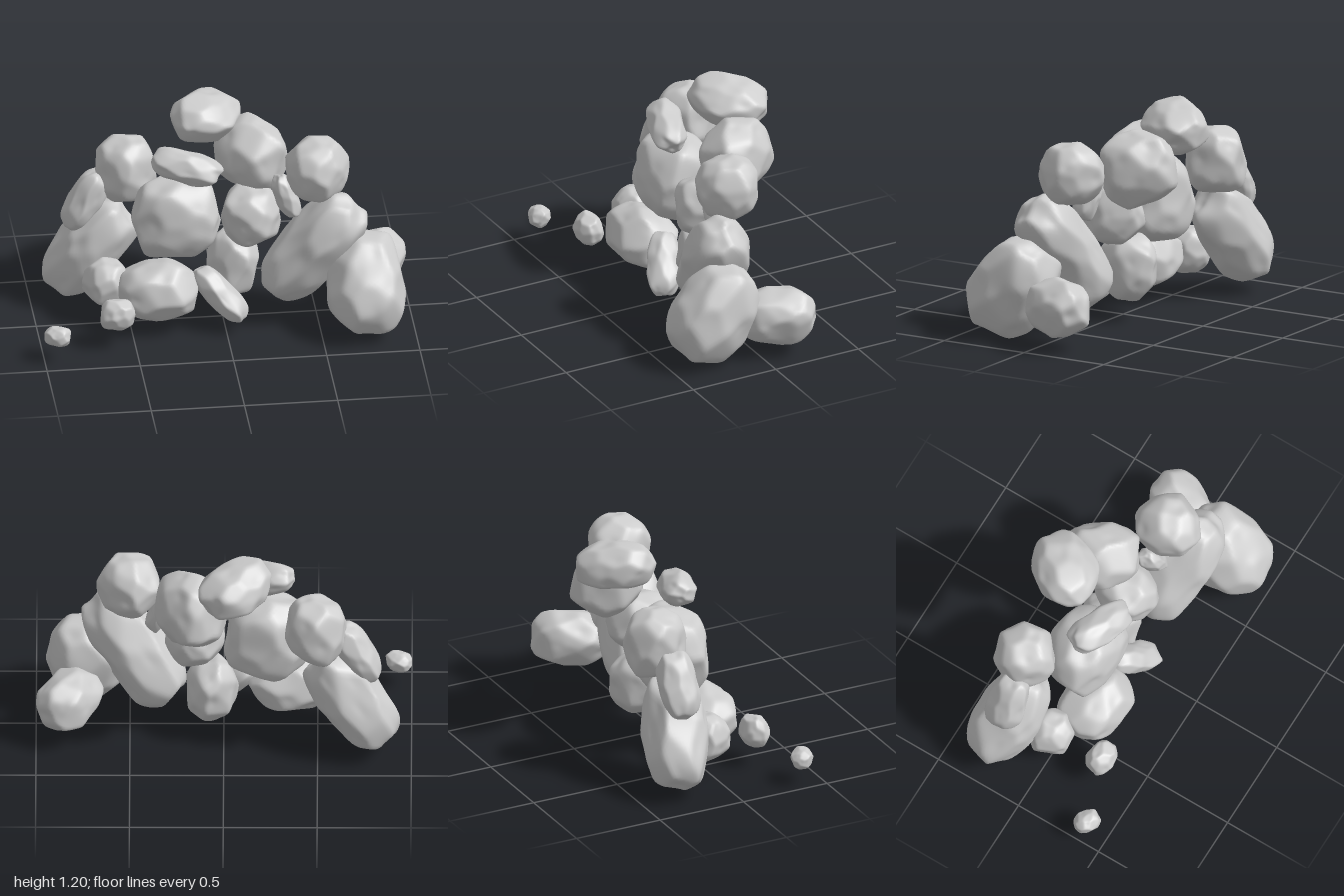
import * as THREE from 'three';
import { mergeVertices } from 'three/addons/utils/BufferGeometryUtils.js';

const UP = new THREE.Vector3(0, 1, 0);
const stone = new THREE.MeshStandardMaterial({ color: 0xcccccc });

// Small seeded random generator
function seeded(seed) {
  let s = seed * 7919 + 17;
  return () => {
    s = (s * 16807) % 2147483647;
    return s / 2147483647;
  };
}

// Evenly spread, jittered planes that give a boulder its worn facets
function makePlanes(rand, count) {
  return Array.from({ length: count }, (_, i) => {
    const y = 1 - (2 * (i + 0.5)) / count;
    const a = i * 2.4 + rand() * 0.7;
    const r = Math.sqrt(1 - y * y);
    const n = new THREE.Vector3(r * Math.cos(a), y + (rand() - 0.5) * 0.25, r * Math.sin(a));
    return { n: n.normalize(), h: 0.93 + rand() * 0.11 };
  });
}

// Softly faceted ball with shallow dents, drawn out along the lean direction
// (the longer the lean, the more slender and blunt-ended), then sized and placed
function boulderGeometry(seed, centre, size, lean) {
  const rand = seeded(seed);
  const base = new THREE.IcosahedronGeometry(1, 13);
  base.deleteAttribute('uv');
  base.deleteAttribute('normal');
  const geo = mergeVertices(base, 1e-4);
  const planes = makePlanes(rand, 34);
  const dents = makePlanes(rand, 14);
  const stretch = 1 + lean.length();
  const bluntness = 2.3 + 0.7 * lean.length();
  const turn = new THREE.Quaternion().setFromUnitVectors(UP, lean.clone().normalize());
  const pos = geo.attributes.position;
  const d = new THREE.Vector3();
  for (let i = 0; i < pos.count; i++) {
    d.fromBufferAttribute(pos, i).normalize();
    let sum = 0;
    for (const { n, h } of planes) sum += Math.pow(Math.max(0, d.dot(n) / h), 45);
    let r = Math.pow(sum, -1 / 45);
    for (const { n } of dents) r -= 0.03 * Math.exp((d.dot(n) - 1) * 60);
    const blunt = Math.pow(Math.hypot(d.x, d.z), bluntness) + Math.pow(Math.abs(d.y), bluntness);
    d.multiplyScalar(r * Math.pow(blunt, -1 / bluntness));
    d.y *= stretch;
    d.applyQuaternion(turn);
    pos.setXYZ(i, d.x, d.y, d.z);
  }
  geo.center();
  const raw = geo.boundingBox.getSize(new THREE.Vector3());
  geo.scale(size.x / raw.x, size.y / raw.y, size.z / raw.z);
  geo.translate(centre.x, centre.y, centre.z);
  geo.computeVertexNormals();
  return geo;
}

export function createModel() {
  const model = new THREE.Group();
  model.name = 'rockPile';
  const v = (x, y = x, z = x) => new THREE.Vector3(x, y, z);
  const rock = (name, centre, size, lean = v(0, 0.1, 0)) => {
    const mesh = new THREE.Mesh(boulderGeometry(model.children.length + 4, centre, size, lean), stone);
    mesh.name = name;
    model.add(mesh);
  };

  // Upper pile
  rock('topBoulder', v(-0.06, 1.06, -0.29), v(0.39, 0.28, 0.4), v(0.2, -0.08, -0.2));
  rock('upperSlab', v(-0.19, 0.925, 0.015), v(0.38, 0.21, 0.25), v(1, -0.25, 0.3));
  rock('upperLeftBoulder', v(0.51, 0.875, 0.015), v(0.34, 0.35, 0.37));
  rock('upperBackBoulder', v(0.175, 0.86, -0.21), v(0.39, 0.42, 0.44), v(0.1, 0, 0.1));
  rock('upperRightBoulder', v(-0.49, 0.785, -0.26), v(0.33, 0.37, 0.34));

  // Middle pile
  rock('centralBoulder', v(-0.245, 0.6, -0.05), v(0.49, 0.48, 0.38), v(0, 0.4, 0));
  rock('middleBoulder', v(0.155, 0.59, -0.03), v(0.32, 0.33, 0.35));
  rock('wedgeStone', v(0.34, 0.715, 0.015), v(0.16, 0.25, 0.15), v(-0.4, 0.8, -0.1));
  rock('rightTiltedStone', v(-0.71, 0.605, -0.24), v(0.26, 0.37, 0.22), v(0.5, 0.7, 0));

  // Long leaning boulders on either side
  rock('rightLeaningBoulder', v(-0.68, 0.335, -0.255), v(0.52, 0.57, 0.38), v(0.5, 0.65, 0.12));
  rock('leftLeaningBoulder', v(0.48, 0.43, 0.085), v(0.56, 0.68, 0.41), v(0.6, 0.8, 0.2));

  // Base
  rock('baseBoulder', v(-0.35, 0.225, 0.085), v(0.44, 0.35, 0.36), v(0.2, 0, 0));
  rock('baseBackStone', v(0.06, 0.285, -0.08), v(0.28, 0.37, 0.33));
  rock('baseSlab', v(-0.025, 0.205, 0.125), v(0.29, 0.29, 0.25), v(0.8, -0.9, 0.4));
  rock('baseRightStone', v(-0.625, 0.23, -0.03), v(0.25, 0.26, 0.25));
  rock('leftFrontBoulder', v(0.74, 0.275, 0.235), v(0.42, 0.55, 0.51), v(0, 0.2, -0.15));
  rock('leftOuterBoulder', v(0.82, 0.22, -0.105), v(0.36, 0.32, 0.41), v(0.15, 0, -0.3));

  // Loose pebbles
  rock('nearPebble', v(-0.595, 0.19, 0.27), v(0.19, 0.18, 0.16), v(0.2, 0, 0));
  rock('farPebble', v(-0.93, 0.145, 0.385), v(0.14, 0.11, 0.13), v(0.2, 0, 0.1));
  return model;
}
